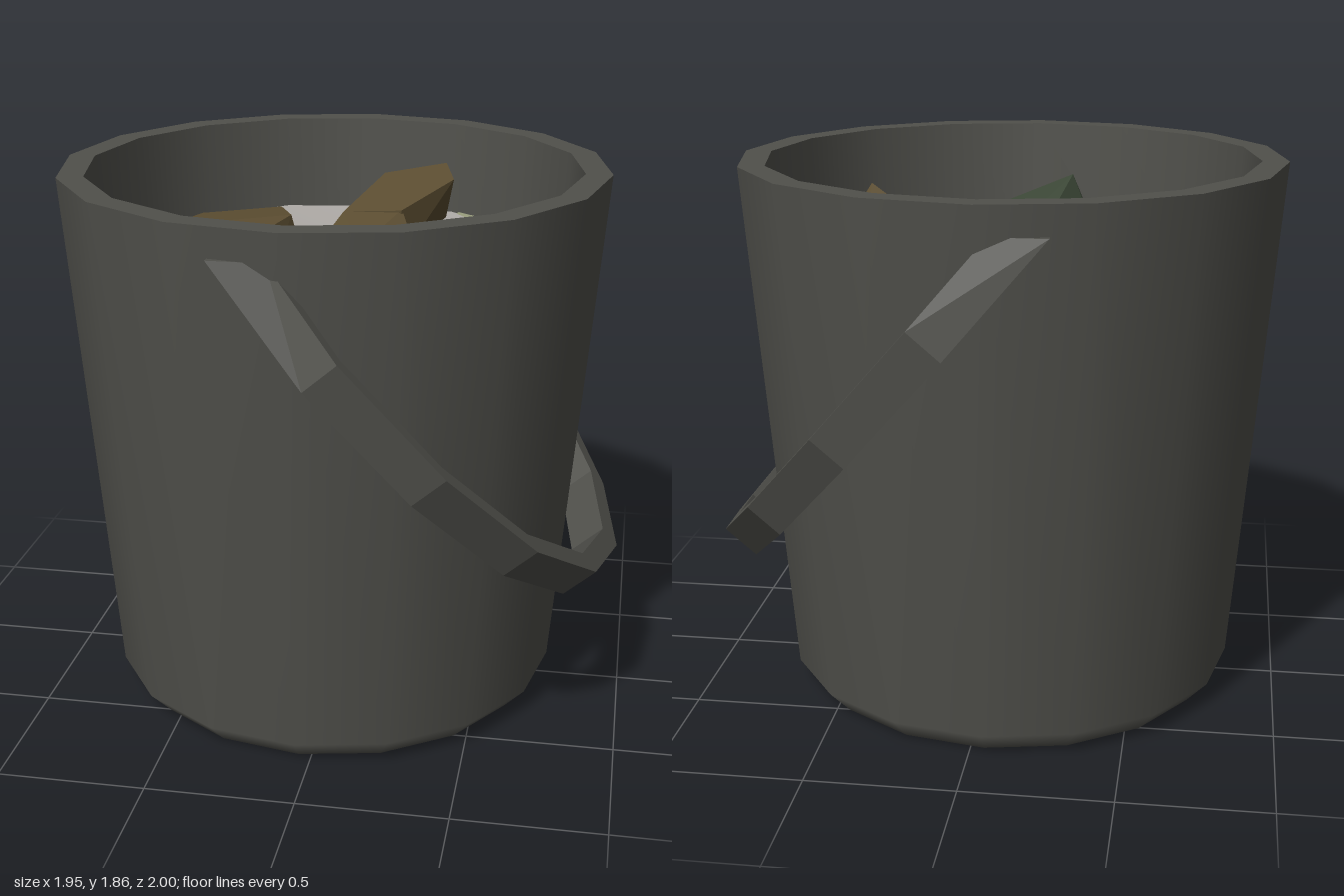
import * as THREE from 'three';
import { ConvexGeometry } from 'three/addons/geometries/ConvexGeometry.js';

const CX = -0.045; // bucket axis

function material(name, color, side = THREE.FrontSide) {
  const m = new THREE.MeshStandardMaterial({ color, side });
  m.name = name;
  return m;
}

function lathe(points, segments) {
  return new THREE.LatheGeometry(points.map(([r, y]) => new THREE.Vector2(r, y)), segments);
}

// Surface of the liquid dips gently towards the middle
const soupY = r => 1.44 + 0.13 * r * r;

// Bail: a stretched half ring of rectangular section in a tilted plane
function handleGeometry() {
  const dx = 0.652, dy = -0.759;
  const corners = [ // x and y of the section centre line, stretch along the plane, half width in z
    [0.037, 1.404, 1.27, 1.0], [0.142, 1.494, 1.27, 1.0],
    [0.142, 1.494, 1.19, 0.95], [0.037, 1.404, 1.19, 0.95],
  ];
  const sections = [];
  for (let k = -5; k <= 5; k++) {
    const a = k * Math.PI / 8;
    sections.push(corners.map(([x, y, rs, rz]) => {
      let s = Math.cos(a) * rs, z = Math.sin(a) * rz;
      if (Math.abs(k) === 5) { // level cut where the ends meet the wall
        s = (1.76 - y) / dy;
        z = Math.sign(k) * (rz - 0.1);
      }
      return [x + dx * s, y + dy * s, z];
    }));
  }
  const pos = [];
  const quad = (a, b, c, d) => pos.push(...a, ...b, ...c, ...a, ...c, ...d);
  for (let i = 0; i < sections.length - 1; i++) {
    for (let j = 0; j < 4; j++) {
      const n = (j + 1) % 4;
      quad(sections[i][j], sections[i + 1][j], sections[i + 1][n], sections[i][n]);
    }
  }
  quad(...sections[0]);
  quad(...sections[sections.length - 1].slice().reverse());
  const g = new THREE.BufferGeometry();
  g.setAttribute('position', new THREE.Float32BufferAttribute(pos, 3));
  g.computeVertexNormals();
  return g;
}

// Spiral streak: angle in degrees, inner radius, outer radius
function swirlGeometry() {
  const rows = [
    [40, 0.09, 0.115], [90, 0.045, 0.08], [180, 0.03, 0.11], [270, 0.14, 0.25],
    [315, 0.2, 0.33], [360, 0.25, 0.42], [405, 0.32, 0.49], [450, 0.3, 0.56],
    [495, 0.33, 0.59], [540, 0.36, 0.62], [585, 0.39, 0.68], [630, 0.45, 0.8],
    [675, 0.51, 0.815], [720, 0.65, 0.815], [765, 0.71, 0.815], [785, 0.8, 0.815],
  ];
  const pos = [], index = [], steps = 6, across = 4;
  let count = 0;
  for (let i = 0; i < rows.length - 1; i++) {
    for (let j = 0; j < steps + (i === rows.length - 2 ? 1 : 0); j++) {
      const [deg, ri, ro] = rows[i].map((v, c) => THREE.MathUtils.lerp(v, rows[i + 1][c], j / steps));
      const a = THREE.MathUtils.degToRad(deg);
      for (let k = 0; k <= across; k++) {
        const r = THREE.MathUtils.lerp(ri, ro, k / across);
        pos.push(r * Math.cos(a), soupY(r) + 0.006, -r * Math.sin(a));
      }
      if (count > 0) {
        for (let k = 0; k < across; k++) {
          const p = (count - 1) * (across + 1) + k, q = p + across + 1;
          index.push(p, p + 1, q, p + 1, q + 1, q);
        }
      }
      count++;
    }
  }
  const g = new THREE.BufferGeometry();
  g.setAttribute('position', new THREE.Float32BufferAttribute(pos, 3));
  g.setIndex(index);
  g.computeVertexNormals();
  return g;
}

export function createModel() {
  const model = new THREE.Group();
  model.name = 'bucket';
  const charcoal = material('charcoal', 0x50504b, THREE.DoubleSide);
  const cream = material('greyCream', 0xaaa6a2);
  const paleGreen = material('paleGreen', 0x949878, THREE.DoubleSide);
  const brown = material('brown', 0x5a4c30);
  const olive = material('olive', 0x5a602a);
  const darkGreen = material('darkGreen', 0x3b4736);

  const add = (name, geometry, mat, x = 0) => {
    const mesh = new THREE.Mesh(geometry, mat);
    mesh.name = name;
    mesh.position.x = x;
    model.add(mesh);
  };

  // Pail, one lathe per smooth surface so the rim stays crisp
  add('base', lathe([[0, 0], [0.71, 0]], 16), charcoal, CX);
  add('outerWall', lathe([[0.71, 0], [0.785, 0.08], [0.93, 1.86]], 16), charcoal, CX);
  add('rim', lathe([[0.93, 1.86], [0.84, 1.86]], 16), charcoal, CX);
  add('innerWall', lathe([[0.84, 1.86], [0.815, 1.4]], 16), charcoal, CX);
  add('handle', handleGeometry(), charcoal);

  // Liquid
  const profile = [];
  for (let i = 12; i >= 0; i--) profile.push([0.83 * i / 12, soupY(0.83 * i / 12)]);
  add('liquid', lathe(profile, 64), cream, CX);
  add('swirl', swirlGeometry(), paleGreen, CX);

  // Floating scraps, convex faceted lumps given as [x, y, z] corners
  const scrap = (name, mat, points) =>
    add(name, new ConvexGeometry(points.map(p => new THREE.Vector3(...p))), mat);

  scrap('leftScrap', brown, [
    [-0.75, 1.48, -0.33], [-0.65, 1.54, -0.53], [-0.35, 1.57, -0.56], [-0.28, 1.58, -0.4],
    [-0.34, 1.56, -0.255], [-0.73, 1.54, -0.32], [-0.24, 1.42, -0.41], [-0.31, 1.42, -0.23],
    [-0.72, 1.4, -0.31], [-0.4, 1.38, -0.5],
  ]);
  scrap('rearScrap', brown, [
    [0.02, 1.68, -0.71], [0.25, 1.72, -0.74], [0.29, 1.68, -0.64], [0.12, 1.6, -0.45],
    [-0.1, 1.58, -0.48], [-0.02, 1.45, -0.81], [0.24, 1.45, -0.74], [0.12, 1.42, -0.46],
    [-0.1, 1.42, -0.48],
  ]);
  scrap('rearScrapTip', brown, [
    [-0.1, 1.58, -0.48], [0.12, 1.6, -0.47], [0.16, 1.53, -0.4], [0, 1.51, -0.25],
    [-0.13, 1.54, -0.43], [0, 1.4, -0.26], [0.14, 1.4, -0.4], [-0.12, 1.4, -0.44],
  ]);
  scrap('rightScrap', brown, [
    [0.49, 1.72, 0.22], [0.3, 1.62, 0.1], [0.45, 1.5, -0.13], [0.6, 1.52, 0.03],
    [0.43, 1.42, 0.44], [0.26, 1.42, 0.19], [0.45, 1.38, -0.1], [0.58, 1.38, 0.05],
  ]);
  scrap('smallScrap', brown, [
    [-0.28, 1.5, -0.1], [-0.25, 1.57, 0.05], [-0.38, 1.43, 0.06], [-0.26, 1.42, 0.17],
    [-0.23, 1.42, 0.08], [-0.28, 1.38, 0],
  ]);
  scrap('frontScrap', darkGreen, [
    [-0.2, 1.71, 0.57], [0.15, 1.57, 0.515], [0, 1.55, 0.18], [-0.12, 1.56, 0.2],
    [-0.32, 1.45, 0.45], [-0.31, 1.42, 0.64], [0.16, 1.42, 0.525], [0, 1.38, 0.2],
  ]);
  scrap('oliveScrap', olive, [
    [-0.86, 1.57, -0.02], [-0.47, 1.58, 0.1], [-0.65, 1.6, 0.24], [-0.85, 1.56, 0.12],
    [-0.85, 1.4, -0.03], [-0.45, 1.4, 0.09], [-0.65, 1.4, 0.24], [-0.85, 1.4, 0.12],
  ]);
  scrap('oliveScrapTip', olive, [
    [-0.47, 1.58, 0.1], [-0.65, 1.6, 0.24], [-0.54, 1.61, 0.4],
    [-0.45, 1.4, 0.09], [-0.65, 1.4, 0.24], [-0.53, 1.4, 0.41],
  ]);
  return model;
}
